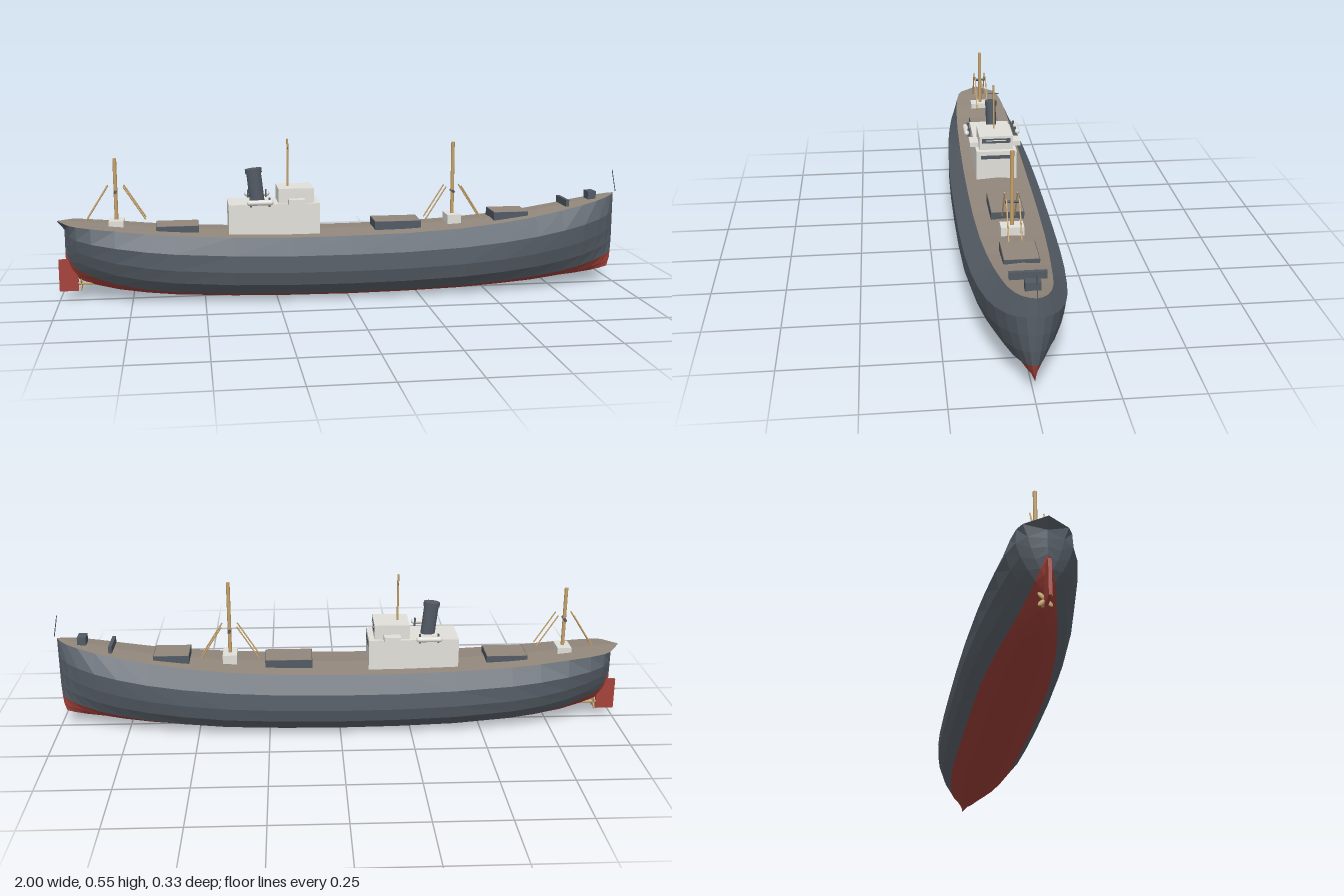
import * as THREE from 'three';

const mat = (name, color) => {
  const m = new THREE.MeshStandardMaterial({ color });
  m.name = name;
  return m;
};

export function createModel() {
  const ship = new THREE.Group();
  ship.name = 'cargoShip';
  const slate = mat('slateHull', 0x59616a);
  const red = mat('bottomRed', 0xa5433b);
  const brown = mat('deckBrown', 0x92877b);
  const white = mat('houseWhite', 0xe2e0da);
  const dark = mat('darkFittings', 0x525a64);
  const tan = mat('mastTan', 0xc8a46c);
  red.side = slate.side = THREE.DoubleSide;

  const add = (name, geo, m, x = 0, y = 0, z = 0, parent = ship) => {
    const mesh = new THREE.Mesh(geo, m);
    mesh.name = name;
    mesh.position.set(x, y, z);
    parent.add(mesh);
    return mesh;
  };
  // box given by its limits, centred on z
  const box = (name, m, x0, x1, y0, y1, halfZ, z = 0) =>
    add(name, new THREE.BoxGeometry(x1 - x0, y1 - y0, halfZ * 2), m, (x0 + x1) / 2, (y0 + y1) / 2, z);
  // round bar between two points
  const rod = (name, m, a, b, r, parent = ship) => {
    const A = new THREE.Vector3(...a), B = new THREE.Vector3(...b), d = B.clone().sub(A);
    const mesh = add(name, new THREE.CylinderGeometry(r, r, d.length(), 8), m, 0, 0, 0, parent);
    mesh.position.copy(A).add(B).multiplyScalar(0.5);
    mesh.quaternion.setFromUnitVectors(new THREE.Vector3(0, 1, 0), d.normalize());
    return mesh;
  };

  // hull stations: x, keel height, deck height, half beam, deck half width, fineness
  const stations = [
    [-0.975, 0.15, 0.283, 0, 0, 1],
    [-0.955, 0.105, 0.277, 0.052, 0.066, 1],
    [-0.93, 0.075, 0.274, 0.083, 0.08, 1],
    [-0.88, 0.055, 0.268, 0.104, 0.09, 0.85],
    [-0.8, 0.035, 0.26, 0.122, 0.098, 0.6],
    [-0.7, 0.023, 0.249, 0.136, 0.104, 0.35],
    [-0.6, 0.016, 0.24, 0.146, 0.108, 0.18],
    [-0.4, 0.008, 0.23, 0.157, 0.112, 0],
    [-0.2, 0.003, 0.225, 0.162, 0.114, 0],
    [0, 0.001, 0.225, 0.163, 0.114, 0],
    [0.2, 0.003, 0.228, 0.162, 0.112, 0],
    [0.4, 0.008, 0.238, 0.157, 0.106, 0],
    [0.55, 0.015, 0.252, 0.148, 0.097, 0.12],
    [0.67, 0.021, 0.268, 0.136, 0.087, 0.28],
    [0.77, 0.029, 0.286, 0.122, 0.077, 0.45],
    [0.85, 0.037, 0.302, 0.103, 0.067, 0.62],
    [0.91, 0.045, 0.315, 0.079, 0.053, 0.8],
    [0.95, 0.053, 0.324, 0.054, 0.036, 0.92],
    [0.975, 0.06, 0.331, 0.026, 0.018, 1],
    [0.988, 0.07, 0.335, 0, 0, 1],
  ];
  const fullZ = [0, 0.37, 0.69, 0.9, 1, 1];
  const fineZ = [0, 0.14, 0.34, 0.6, 0.83, 1];
  const fullT = [0, 0.022, 0.105, 0.28, 0.49, 0.75];
  const fineT = [0, 0.08, 0.19, 0.36, 0.56, 0.77];
  const last = stations.length - 1;
  const point = (i, j, side) => {
    const [x, keel, deck, beam, deckZ, f] = stations[i];
    if (j >= 6) {
      const endX = i === 0 ? -1 : x;
      return [endX, deck + (j === 7 ? deckZ * 0.07 : 0), j === 7 ? 0 : deckZ * side];
    }
    const z = beam * THREE.MathUtils.lerp(fullZ[j], fineZ[j], f) * side;
    const t = THREE.MathUtils.lerp(fullT[j], fineT[j], f * f);
    const cut = i === last ? [0.01, 0.004, 0.002, 0, 0, 0][j] : 0;
    return [x - cut, keel + (deck - keel) * t, z];
  };
  // faceted strip of hull between two rows
  const loft = (name, m, j0, j1) => {
    const pos = [];
    for (const side of [1, -1])
      for (let i = 0; i < last; i++)
        for (let j = j0; j < j1; j++) {
          const a = point(i, j, side), b = point(i + 1, j, side);
          const c = point(i + 1, j + 1, side), d = point(i, j + 1, side);
          if (side > 0) pos.push(...a, ...b, ...c, ...a, ...c, ...d);
          else pos.push(...a, ...c, ...b, ...a, ...d, ...c);
        }
    const g = new THREE.BufferGeometry();
    g.setAttribute('position', new THREE.Float32BufferAttribute(pos, 3));
    g.computeVertexNormals();
    add(name, g, m);
  };
  loft('hullBottom', red, 0, 2);
  loft('hullSides', slate, 2, 6);
  loft('deck', brown, 6, 7);

  // rudder and propeller
  box('rudder', red, -1, -0.935, 0.035, 0.147, 0.005);
  const prop = new THREE.Group();
  prop.name = 'propeller';
  prop.position.set(-0.925, 0.06, 0);
  ship.add(prop);
  rod('propellerShaft', tan, [-0.012, 0, 0], [0.04, 0, 0], 0.005, prop);
  for (let k = 0; k < 4; k++) {
    const a = k * Math.PI / 2 + Math.PI / 4;
    const blade = add('propellerBlade', new THREE.SphereGeometry(1, 8, 6), tan, 0, Math.cos(a) * 0.015, Math.sin(a) * 0.015, prop);
    blade.scale.set(0.003, 0.014, 0.007);
    blade.rotation.x = a;
  }

  // deckhouse and bridge
  box('deckhouse', white, -0.415, -0.1, 0.215, 0.335, 0.073);
  box('bridge', white, -0.243, -0.12, 0.335, 0.386, 0.061);
  box('bridgeWings', white, -0.21, -0.152, 0.335, 0.352, 0.093);
  box('houseWindows', dark, -0.1, -0.098, 0.307, 0.32, 0.057);
  box('bridgeWindows', dark, -0.12, -0.118, 0.36, 0.377, 0.052);
  box('windowRail', white, -0.118, -0.116, 0.369, 0.372, 0.036);

  // lifeboats on their davits
  for (const s of [1, -1]) {
    const boat = add('lifeboat', new THREE.CapsuleGeometry(0.0095, 0.072, 5, 12), white, -0.308, 0.345, s * 0.095);
    boat.rotation.z = Math.PI / 2;
    for (const x of [-0.34, -0.276]) box('davit', dark, x - 0.003, x + 0.003, 0.33, 0.361, 0.005, s * 0.086);
  }

  // raked oval funnel
  const funnel = new THREE.Group();
  funnel.name = 'funnel';
  funnel.position.set(-0.312, 0.33, 0);
  funnel.rotation.z = 0.11;
  ship.add(funnel);
  for (const [name, r, h, y] of [['funnelPipe', 0.019, 0.12, 0.06], ['funnelCap', 0.0215, 0.016, 0.113]])
    add(name, new THREE.CylinderGeometry(r, r, h, 20), dark, 0, y, 0, funnel).scale.x = 1.35;

  // signal mast above the bridge
  rod('signalMast', tan, [-0.205, 0.385, 0], [-0.205, 0.552, 0], 0.0035);
  rod('signalYard', dark, [-0.205, 0.52, -0.018], [-0.205, 0.52, 0.018], 0.0018);

  // cargo masts with mast houses and booms
  for (const [x, base, top, houseTop] of [[-0.798, 0.255, 0.495, 0.283], [0.386, 0.23, 0.531, 0.274]]) {
    box('mastHouse', white, x - 0.025, x + 0.025, base - 0.01, houseTop, 0.038);
    rod('cargoMast', tan, [x, base, 0], [x, top, 0], 0.0065);
    rod('crosstree', dark, [x, base + 0.125, -0.022], [x, base + 0.125, 0.022], 0.005);
    for (const sx of [1, -1])
      for (const sz of [1, -1])
        rod('cargoBoom', tan, [x + sx * 0.1, base + 0.03, sz * 0.021], [x + sx * 0.027, base + 0.145, sz * 0.021], 0.0025);
  }

  // hatches with wooden covers
  for (const [x0, x1, y] of [[-0.663, -0.518, 0.263], [0.097, 0.262, 0.26], [0.527, 0.652, 0.282]]) {
    box('hatchCoaming', dark, x0, x1, y - 0.03, y, 0.056);
    box('hatchCover', brown, x0 + 0.002, x1 - 0.002, y, y + 0.001, 0.054);
  }

  // foredeck gear
  box('breakwater', dark, 0.792, 0.804, 0.296, 0.32, 0.056);
  box('windlass', dark, 0.885, 0.915, 0.315, 0.344, 0.023);
  rod('jackstaff', dark, [0.997, 0.34, 0], [0.982, 0.418, 0], 0.0015);

  return ship;
}
